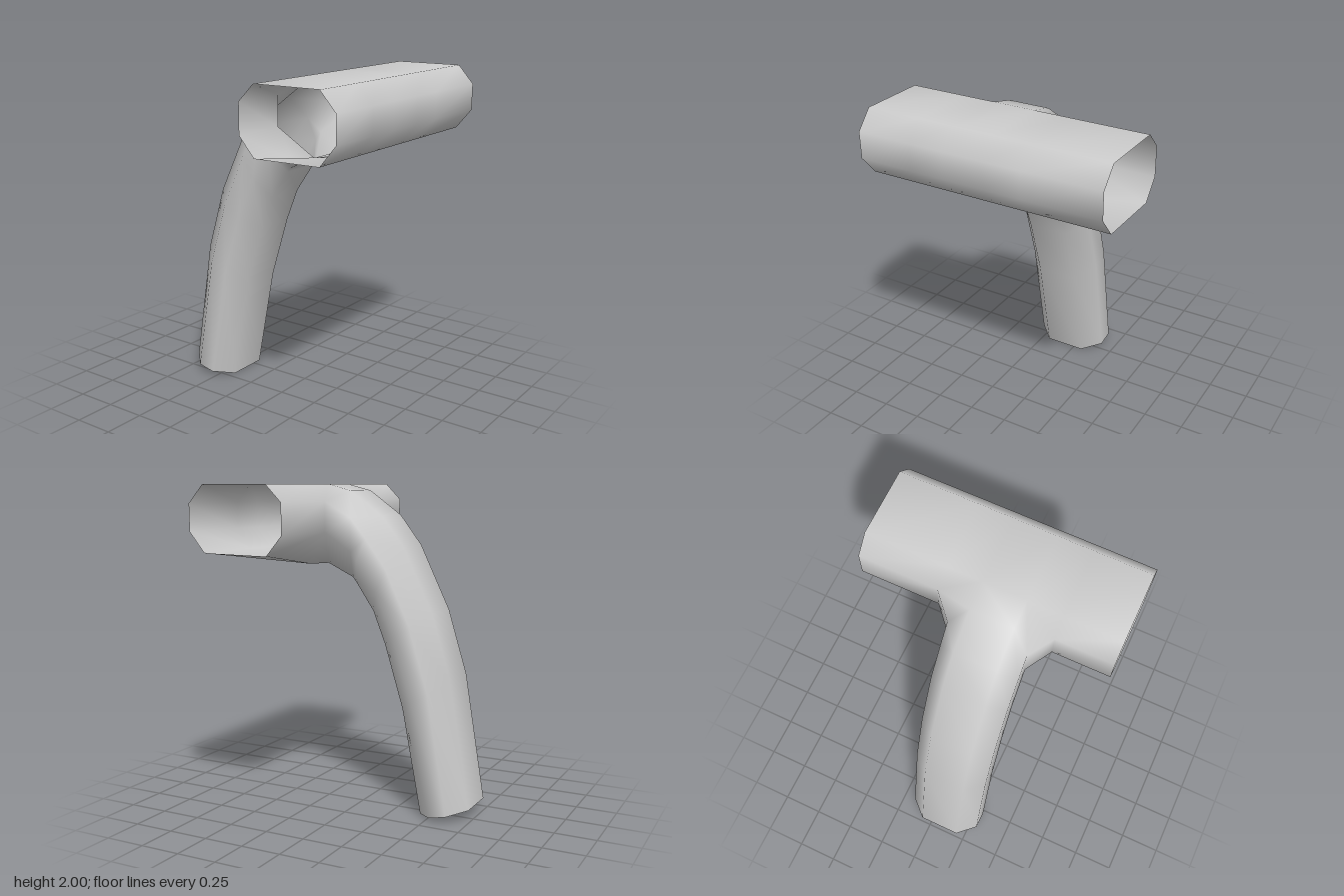
import * as THREE from 'three';

// Eight-sided ring of the leg between its outer and inner points;
// sides may be given where the ring is not straight.
function legRing([ox, oy], [ix, iy], sides) {
  const at = t => [ox + (ix - ox) * t, oy + (iy - oy) * t];
  const [u, l] = sides || [at(0.33), at(0.67)];
  return [
    [ox, oy, 0.2], [ox, oy, -0.06],
    [...u, -0.17], [...l, -0.17],
    [ix, iy, -0.06], [ix, iy, 0.2],
    [...l, 0.305], [...u, 0.305],
  ];
}

// Octagonal section of the crossbar; yb is the height of its lower edge beside the leg.
function barRing(z, yb) {
  return [
    [0.21, 2], [0.63, 2], [0.73, 1.89], [0.73, 1.73],
    [0.63, 1.61], [0.21, yb], [0.11, 1.72], [0.11, 1.9],
  ].map(([x, y]) => [x, y, z]);
}

export function createModel() {
  const positions = [], index = [], lookup = new Map();

  // Shared vertices keep the shading smooth across the joint.
  const vertex = p => {
    const key = p.map(v => v.toFixed(4)).join();
    if (!lookup.has(key)) {
      lookup.set(key, positions.length / 3);
      positions.push(...p);
    }
    return lookup.get(key);
  };
  const tri = (a, b, c) => index.push(vertex(a), vertex(b), vertex(c));
  const loft = (r, s, skip = () => false) => {
    for (let j = 0; j < 8; j++) {
      if (skip(j)) continue;
      const k = (j + 1) % 8;
      tri(r[j], s[j], s[k]);
      tri(r[j], s[k], r[k]);
    }
  };

  // Crossbar, with an opening in its side for the leg
  const bar = [
    [-0.76, 1.605], [-0.28, 1.53], [-0.06, 1.52],
    [0.2, 1.52], [0.41, 1.54], [0.755, 1.605],
  ].map(([z, yb]) => barRing(z, yb));
  for (let i = 0; i < 5; i++) {
    const open = i > 0 && i < 4;
    loft(bar[i], bar[i + 1], j => open && j >= 5);
  }

  // Corner gussets of the opening
  const [, s1, s2, s3, s4] = bar;
  tri(s1[0], s1[7], s2[0]);
  tri(s1[5], s2[5], s1[6]);
  tri(s4[0], s3[0], s4[7]);
  tri(s4[5], s4[6], s3[5]);

  // Curved leg, flaring into the opening
  const leg = [
    legRing([-0.74, 0.07], [-0.425, 0]),
    legRing([-0.61, 0.85], [-0.3, 0.65]),
    legRing([-0.49, 1.24], [-0.18, 1.04]),
    legRing([-0.3, 1.63], [-0.1, 1.24]),
    legRing([-0.16, 1.81], [0.02, 1.415]),
    legRing([0.05, 1.96], [0.04, 1.44], [[0, 1.8], [0, 1.6]]),
    [s3[0], s2[0], s1[7], s1[6], s2[5], s3[5], s4[6], s4[7]],
  ];
  for (let i = 0; i < leg.length - 1; i++) loft(leg[i], leg[i + 1]);

  const geometry = new THREE.BufferGeometry();
  geometry.setAttribute('position', new THREE.Float32BufferAttribute(positions, 3));
  geometry.setIndex(index);
  geometry.computeVertexNormals();

  const pipe = new THREE.Mesh(geometry, new THREE.MeshStandardMaterial({
    color: 0xcccccc, side: THREE.DoubleSide,
  }));
  pipe.name = 'teePipe';
  const group = new THREE.Group();
  group.name = 'pipeFitting';
  group.add(pipe);
  return group;
}
